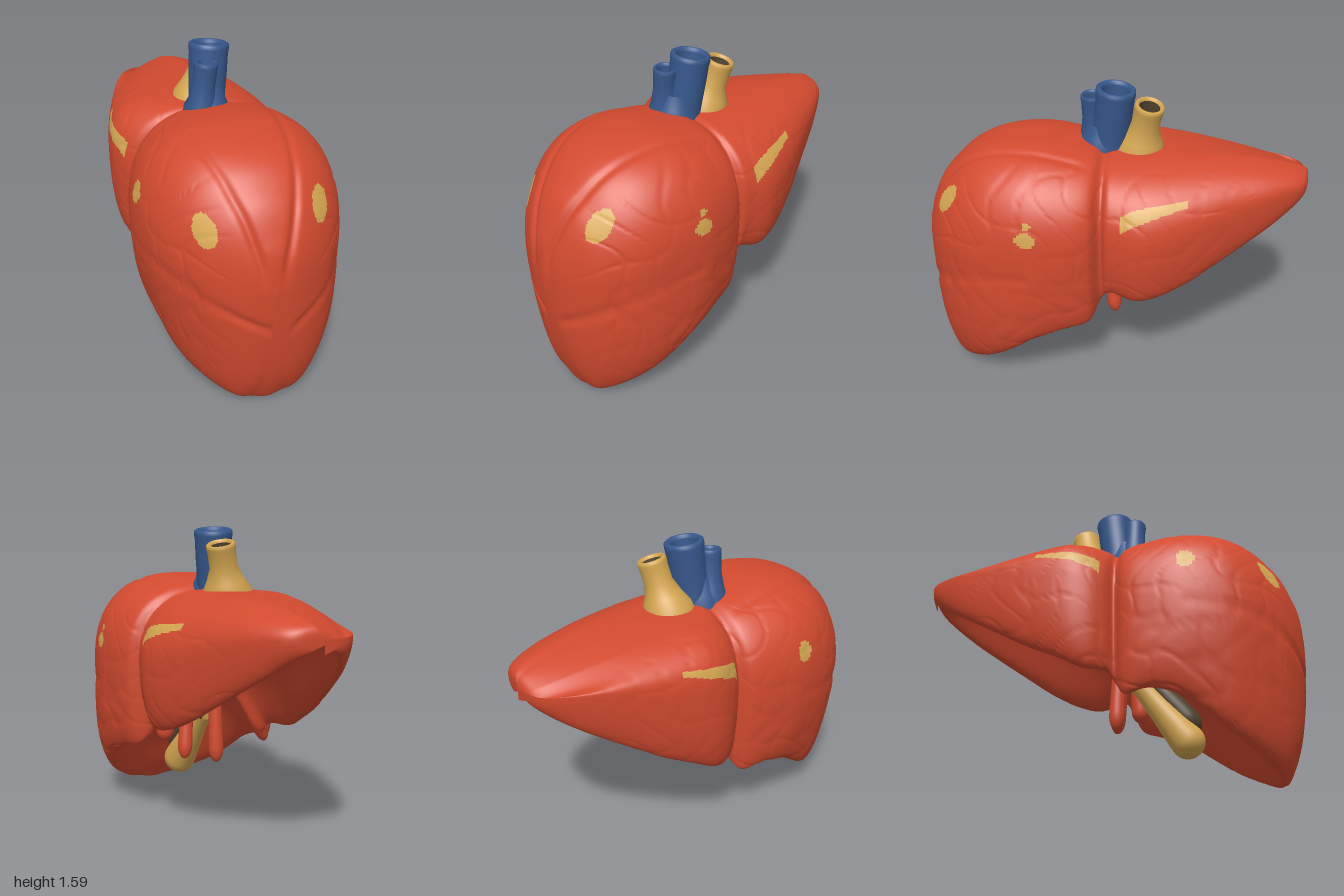
import * as THREE from 'three';

const mat = (name, color) => {
  const m = new THREE.MeshStandardMaterial({ color, side: THREE.DoubleSide });
  m.name = name;
  return m;
};

// Stations from front to back: z, top, rim height, half width, height of widest point, rim width ratio, hollow depth
const STATIONS = [
  [1, .74, .70, 0, .72, .3, 0],
  [.985, .9, .48, .1, .72, .3, -.01],
  [.95, 1.0, .25, .19, .73, .3, -.01],
  [.9, 1.1, .1, .275, .74, .3, -.02],
  [.84, 1.17, .02, .34, .76, .32, -.02],
  [.74, 1.255, .075, .415, .78, .54, .04],
  [.6, 1.31, .17, .475, .8, .7, .16],
  [.4, 1.33, .32, .51, .82, .8, .23],
  [.22, 1.31, .395, .49, .83, .84, .25],
  [.105, 1.285, .43, .45, .85, .85, .23],
  [.05, 1.252, .53, .385, .88, .86, .14],
  [0, 1.262, .59, .435, .88, .84, .16],
  [-.15, 1.265, .56, .475, .88, .84, .27],
  [-.35, 1.262, .62, .435, .93, .83, .29],
  [-.6, 1.25, .77, .345, 1.02, .82, .25],
  [-.83, 1.215, .92, .25, 1.08, .78, .15],
  [-.97, 1.17, 1.03, .15, 1.1, .65, .04],
  [-1, 1.12, 1.08, 0, 1.1, .5, 0],
];

// Smooth blend of all station columns
function station(t) {
  const n = STATIONS.length - 1, i = Math.min(Math.floor(t), n - 1), f = t - i;
  const at = k => STATIONS[Math.max(0, Math.min(n, k))];
  return STATIONS[0].map((_, c) => {
    const [a, b, d, e] = [at(i - 1)[c], at(i)[c], at(i + 1)[c], at(i + 2)[c]];
    return b + .5 * f * (d - a + f * (2 * a - 5 * b + 4 * d - e + f * (3 * (b - d) + e - a)));
  });
}

const bell = (d, w) => Math.exp(-(d * d) / (w * w));
const smooth = u => { const k = Math.min(1, Math.max(0, u)); return k * k * (3 - 2 * k); };

// Point on the body; v runs from the +x side over the top, then around the hollow underside
function bodyPoint(t, v) {
  const [z, top, rim, w, mid, ratio, hollow] = station(t);
  const front = smooth((z - .5) * 2), back = smooth((.05 - z) * 4);
  const shift = .02 * front - .03 * smooth((.1 - z) * 6) - .05 * smooth(-z);
  let x, y, outer = true;
  if (v < .5) {
    // The back lobe is boxy on its -x shoulder, where its top slopes down toward the tip
    const a = v * 2 * Math.PI, c = Math.cos(a);
    const e = .8 + .15 * front + back * (c < 0 ? -.25 : .08) * Math.min(1, Math.abs(c) * 3);
    x = w * Math.sign(c) * Math.abs(c) ** e;
    y = mid + (top - mid) * Math.abs(Math.sin(a)) ** e;
    y -= .13 * smooth(-z * 1.1) * smooth((.3 - c) / 1.3) * Math.sin(a);
  } else {
    const side = v < .75 ? -1 : 1;
    const k = side < 0 ? (v - .5) * 4 : (1 - v) * 4;
    const low = rim - (side < 0 ? .1 * bell(z, .17) : 0);
    if (k < .55) {
      const a = k / .55 * Math.PI / 2;
      x = side * w * (ratio + (1 - ratio) * Math.cos(a));
      y = mid - (mid - low) * Math.sin(a);
    } else {
      const u = (k - .55) / .45;
      outer = false;
      x = side * w * ratio * (1 - u);
      y = low + (rim + hollow - low) * smooth(u * (1.6 - .6 * front));
    }
  }
  // Shallow lobe grooves, front folds and faint surface veins
  let d = 0;
  if (outer) {
    if (z > .08) {
      const g = .27 * Math.sqrt(Math.max(0, 1 - (z / 1.02) ** 2));
      d += .016 * smooth((z - .08) * 8) * smooth((y - mid) * 5) * (bell(x - g + .02, .02) + bell(x + g, .02));
      const fold = Math.abs(x - .04);
      if (z > .4) d += .012 * bell(y - .48 - .55 * fold, .025) * smooth((.85 - y) * 8) * smooth(fold * 12);
    }
    const vein = Math.sin(y * 21 + 2 * Math.sin(z * 13)) + Math.sin(z * 24 + 2 * Math.sin(y * 15));
    d += .007 * bell(vein, .22) * smooth(Math.abs(x) * 5 - .8);
    x *= 1 - d;
    y = mid + (y - mid) * (1 - d);
  }
  const lean = .025 * smooth((mid - y) * 2) * smooth((z - .2) * 3);
  return [x + shift + lean, y, z - d * front];
}

// Pale patches on the skin
const oval = (a, b, ca, cb, ra, rb) => ((a - ca) / ra) ** 2 + ((b - cb) / rb) ** 2 < 1;
function isPatch(x, y, z) {
  if (z > .55) return oval(x, y, -.27, 1.01, .048, .073) || oval(x, y, .27, 1.06, .048, .073);
  if (Math.abs(x) < .25) return false;
  if (z > .2) return x > 0
    ? oval(z, y, .4, .965, .054, .038) || oval(z, y, .39, 1.035, .02, .018)
    : oval(z, y, .42, 1.02, .045, .055);
  const s = ((x > 0 ? -.06 : -.01) - z) / .33;
  return s > 0 && s < 1 && Math.abs(y - 1.015 - .1 * Math.sqrt(s)) < .04 * (1 - .7 * s);
}

function bodyGeometry() {
  const rows = 220, cols = 260, pos = [], skin = [], patch = [];
  for (let i = 0; i <= rows; i++)
    for (let j = 0; j < cols; j++)
      pos.push(...bodyPoint(i / rows * (STATIONS.length - 1), j / cols));
  for (let i = 0; i < rows; i++)
    for (let j = 0; j < cols; j++) {
      const a = i * cols + j, b = i * cols + (j + 1) % cols, c = a + cols, d = b + cols;
      const m = k => (pos[a * 3 + k] + pos[d * 3 + k]) / 2;
      (isPatch(m(0), m(1), m(2)) ? patch : skin).push(a, c, b, b, c, d);
    }
  const g = new THREE.BufferGeometry();
  g.setAttribute('position', new THREE.Float32BufferAttribute(pos, 3));
  g.setIndex(skin.concat(patch));
  g.addGroup(0, skin.length, 0);
  g.addGroup(skin.length, patch.length, 1);
  g.computeVertexNormals();
  return g;
}

// Turned part whose profile [radius, fraction of length] runs from one point to another
function turned(name, profile, from, to, material) {
  const a = new THREE.Vector3(...from), dir = new THREE.Vector3(...to).sub(a), len = dir.length();
  const mesh = new THREE.Mesh(
    new THREE.LatheGeometry(profile.map(([r, h]) => new THREE.Vector2(r, h * len)), 40), material);
  mesh.name = name;
  mesh.position.copy(a);
  mesh.quaternion.setFromUnitVectors(new THREE.Vector3(0, 1, 0), dir.normalize());
  return mesh;
}

// Open vessel with a flared foot, rounded lip and hollow bore
function vessel(name, from, to, foot, r, material, boreMaterial) {
  const g = new THREE.Group();
  g.name = name;
  g.add(turned(name + 'Wall', [[foot * 1.15, 0], [foot * 1.08, .2], [(foot + r) / 2, .38], [r * .95, .6], [r * .96, .85],
    [r, .93], [r * .98, .98], [r * .88, 1], [r * .75, .99], [r * .7, .95]], from, to, material));
  g.add(turned(name + 'Bore', [[r * .7, .95], [r * .66, .75], [r * .6, .66], [0, .66]], from, to, boreMaterial));
  return g;
}

// Profile of a sac with a rounded closed end, tapering from r0 to r1
function sac(r0, r1) {
  const p = [];
  for (let i = 0; i <= 24; i++) {
    const h = (i / 24) ** 1.5;
    p.push([(r0 + (r1 - r0) * smooth(h)) * Math.sqrt(1 - (1 - Math.min(1, h / .2)) ** 2), h]);
  }
  return p;
}

export function createModel() {
  const red = mat('liverRed', 0xd24a2f);
  const yellow = mat('ochreYellow', 0xd6a752);
  const blue = mat('veinBlue', 0x37588c);
  const dark = mat('darkBrown', 0x50432f);

  const model = new THREE.Group();
  model.name = 'liver';

  const body = new THREE.Mesh(bodyGeometry(), [red, yellow]);
  body.name = 'lobes';
  model.add(body);

  // Vessels on top, the two veins sharing a collar
  model.add(vessel('largeVein', [-.035, 1.2, .04], [-.005, 1.575, -.003], .085, .102, blue, blue));
  model.add(vessel('smallVein', [-.09, 1.2, .115], [-.055, 1.52, .125], .075, .06, blue, blue));
  model.add(turned('veinCollar', [[.125, 0], [.115, .4], [.095, .6], [.075, 1]], [-.045, 1.2, .085], [-.035, 1.38, .07], blue));
  model.add(vessel('artery', [-.04, 1.2, -.115], [.033, 1.505, -.175], .12, .076, yellow, dark));

  // Gallbladder and the dark bed above it in the hollow
  model.add(turned('gallbladder', sac(.094, .055), [.05, .175, .425], [0, .56, .13], yellow));
  model.add(turned('gallbladderBed', sac(.065, .055), [.05, .3, .43], [0, .68, .1], dark));

  // Ducts hanging below the middle
  [
    [[-.03, .3, .01], [-.03, .75, .03], .042],
    [[.17, .35, -.015], [.13, .75, .03], .04],
    [[.24, .43, .11], [.2, .75, .09], .05],
  ].forEach(([a, b, r], i) => model.add(turned('duct' + (i + 1), sac(r, r * .8), a, b, red)));

  return model;
}
